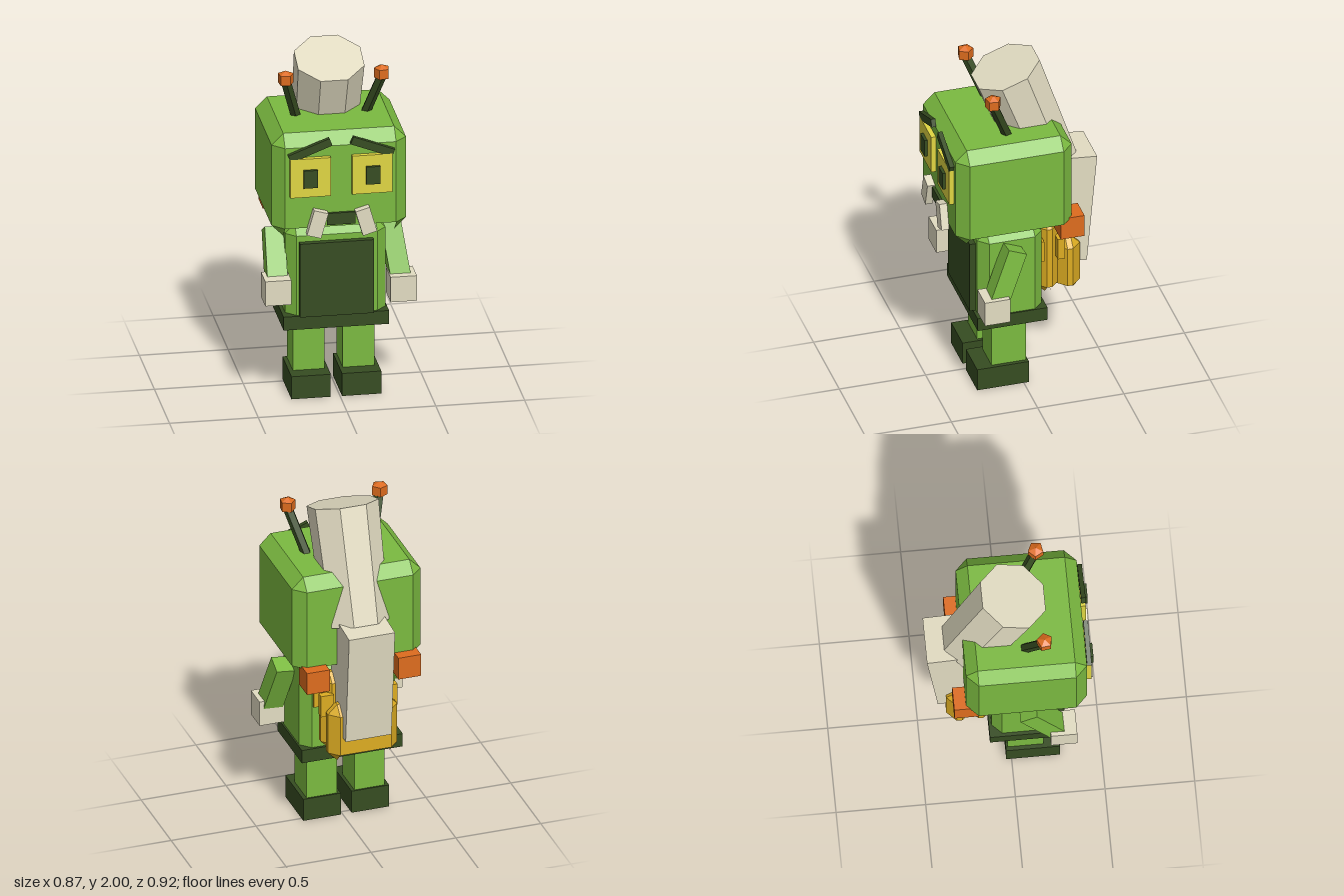
import * as THREE from 'three';
import { ConvexGeometry } from 'three/addons/geometries/ConvexGeometry.js';

const mat = (name, color, side = THREE.FrontSide) => {
  const m = new THREE.MeshStandardMaterial({ color, side });
  m.name = name;
  return m;
};

export function createModel() {
  // Green and gold shells are open underneath, so they show both sides
  const green = mat('leafGreen', 0x7bba40, THREE.DoubleSide);
  const gold = mat('gold', 0xdcac22, THREE.DoubleSide);
  const dark = mat('darkGreen', 0x364c21);
  const bone = mat('bone', 0xe2dcc2);
  const orange = mat('orange', 0xde6c1e);
  const yellow = mat('eyeYellow', 0xe0d642);

  const model = new THREE.Group();
  model.name = 'robot';

  const add = (name, geo, material) => {
    const mesh = new THREE.Mesh(geo, material);
    mesh.name = name;
    model.add(mesh);
    return mesh;
  };

  // Sharp-edged copy of a geometry
  const faceted = geo => {
    const g = geo.toNonIndexed();
    g.computeVertexNormals();
    return g;
  };

  // Box given by its limits on each axis
  const box = (name, material, [x0, x1], [y0, y1], [z0, z1]) => {
    const mesh = add(name, new THREE.BoxGeometry(x1 - x0, y1 - y0, z1 - z0), material);
    mesh.position.set((x0 + x1) / 2, (y0 + y1) / 2, (z0 + z1) / 2);
    return mesh;
  };

  // Chamfered box, open underneath; only some lower corner facets stay
  // (cornerSide: 1 front, -1 back, 0 all)
  const chamferBox = (name, material, xs, ys, zs, c, cornerSide) => {
    const pts = [];
    for (const i of [0, 1]) for (const j of [0, 1]) for (const k of [0, 1]) {
      const inset = (v, s) => v + (s ? -c : c);
      const [x, y, z] = [xs[i], ys[j], zs[k]];
      pts.push(new THREE.Vector3(x, inset(y, j), inset(z, k)));
      pts.push(new THREE.Vector3(inset(x, i), y, inset(z, k)));
      pts.push(new THREE.Vector3(inset(x, i), inset(y, j), z));
    }
    const p = new ConvexGeometry(pts).attributes.position;
    const kept = [];
    const tri = new THREE.Triangle(), n = new THREE.Vector3();
    for (let f = 0; f < p.count; f += 3) {
      tri.setFromAttributeAndIndices(p, f, f + 1, f + 2);
      tri.getNormal(n);
      const low = Math.max(tri.a.y, tri.b.y, tri.c.y) < ys[0] + c + 1e-4;
      const corner = Math.abs(n.x) > 0.3 && Math.abs(n.z) > 0.3 && n.z * cornerSide >= 0;
      if (!low || corner) for (const v of [tri.a, tri.b, tri.c]) kept.push(v.x, v.y, v.z);
    }
    const geo = new THREE.BufferGeometry();
    geo.setAttribute('position', new THREE.Float32BufferAttribute(kept, 3));
    geo.computeVertexNormals();
    add(name, geo, material);
  };

  // Box hollowed from below: frame with a thin lid on top
  const hollowBox = (name, xs, ys, zs, rim) => {
    const w = (xs[1] - xs[0]) / 2, d = (zs[1] - zs[0]) / 2, h = ys[1] - ys[0], lid = h * 0.25;
    const rect = (T, a, b) => new T([[-a, -b], [a, -b], [a, b], [-a, b]].map(q => new THREE.Vector2(...q)));
    const shape = rect(THREE.Shape, w, d);
    shape.holes.push(rect(THREE.Path, w - rim, d - rim));
    const geo = new THREE.ExtrudeGeometry(shape, { depth: h - lid, bevelEnabled: false });
    geo.rotateX(-Math.PI / 2);
    const frame = add(name, geo, dark);
    frame.position.set((xs[0] + xs[1]) / 2, ys[0], (zs[0] + zs[1]) / 2);
    box(name + 'Top', dark, xs, [ys[1] - lid, ys[1]], zs);
  };

  // Straight part between two points
  const span = (name, material, a, b, makeGeo) => {
    const va = new THREE.Vector3(...a), vb = new THREE.Vector3(...b);
    const mesh = add(name, makeGeo(va.distanceTo(vb)), material);
    mesh.position.copy(va).lerp(vb, 0.5);
    mesh.quaternion.setFromUnitVectors(new THREE.Vector3(0, 1, 0), va.sub(vb).normalize());
  };

  // Head and torso
  chamferBox('head', green, [-0.4, 0.357], [1.02, 1.635], [-0.26, 0.415], 0.066, 1);
  chamferBox('torso', green, [-0.3, 0.265], [0.415, 1.03], [-0.11, 0.265], 0.055, 0);
  box('apron', dark, [-0.23, 0.185], [0.5, 0.94], [0.266, 0.3]);
  hollowBox('belt', [-0.32, 0.274], [0.42, 0.5], [-0.125, 0.28], 0.05);

  // Mirrored parts share the slightly offset middle plane
  const mid = -0.021;
  for (const s of [-1, 1]) {
    const side = s < 0 ? 'right' : 'left';
    const at = (a, b) => [mid + s * a, mid + s * b].sort((p, q) => p - q);

    // Legs and shoes
    box(side + 'Leg', green, at(0.051, 0.23), [0.13, 0.408], [-0.02, 0.18]);
    hollowBox(side + 'Shoe', at(0.032, 0.253), [0, 0.135], [-0.03, 0.27], 0.07);

    // Eyes, pupils, brows
    box(side + 'Eye', yellow, at(0.06, 0.288), [1.28, 1.51], [0.416, 0.443]);
    box(side + 'Pupil', dark, at(0.136, 0.216), [1.34, 1.445], [0.43, 0.46]);
    const brow = add(side + 'Brow', new THREE.BoxGeometry(0.25, 0.046, 0.026), dark);
    brow.position.set(mid + s * 0.176, 1.558, 0.43);
    brow.rotation.z = -s * 0.37;

    // Whisker plates
    const whisker = add(side + 'Whisker', new THREE.BoxGeometry(0.083, 0.152, 0.044), bone);
    whisker.position.set(mid + s * 0.137, 1.119, 0.438);
    whisker.rotation.z = s * 0.28;

    // Antennae with five-sided knobs
    const tip = [mid + s * 0.271, 1.88, 0.183];
    span(side + 'Antenna', dark, tip, [mid + s * 0.19, 1.6, 0.07],
      len => faceted(new THREE.CylinderGeometry(0.029, 0.029, len, 5)));
    const profile = [[0, -0.035], [0.045, -0.03], [0.045, 0.026], [0, 0.046]].map(q => new THREE.Vector2(...q));
    const knob = add(side + 'AntennaKnob', faceted(new THREE.LatheGeometry(profile, 5, -s * 0.44)), orange);
    knob.position.set(tip[0], 1.895, 0.183);

    // Pack: side blocks and clips
    box(side + 'PackBlock', orange, at(0.202, 0.336), [0.963, 1.097], [-0.327, -0.19]);
    box(side + 'PackClip', gold, at(0.15, 0.225), [0.76, 0.89], [-0.247, -0.205]);
    box(side + 'PackStrap', gold, at(0.15, 0.225), [0.76, 0.89], [-0.127, -0.1]);
  }

  // Mouth
  box('mouth', dark, [-0.1, 0.058], [1.1, 1.17], [0.416, 0.432]);

  // Arms and hands, each in its own pose
  const limb = len => new THREE.BoxGeometry(0.114, len, 0.11);
  span('rightArm', green, [-0.345, 0.96, 0.085], [-0.357, 0.68, 0.26], limb);
  span('leftArm', green, [0.311, 0.952, 0.075], [0.353, 0.63, 0.205], limb);
  box('rightHand', bone, [-0.435, -0.288], [0.603, 0.75], [0.205, 0.352]);
  box('leftHand', bone, [0.282, 0.43], [0.55, 0.7], [0.138, 0.284]);

  // Backpack
  chamferBox('packInner', gold, [-0.225, 0.183], [0.52, 1.0], [-0.23, -0.1], 0.05, 0);
  chamferBox('packOuter', gold, [-0.225, 0.183], [0.505, 0.855], [-0.355, -0.215], 0.054, -1);

  // Chimney: tilted eight-sided stack above a square duct
  const stackGeo = new THREE.CylinderGeometry(0.202, 0.183, 0.68, 8).rotateY(Math.PI / 8);
  const stack = add('chimneyStack', faceted(stackGeo), bone);
  stack.position.set(mid, 1.616, -0.084);
  stack.rotation.x = 0.347;
  const duct = add('chimneyDuct', new THREE.BoxGeometry(0.27, 0.676, 0.27), bone);
  duct.position.set(mid, 1.015, -0.296);
  duct.rotation.x = -0.089;

  return model;
}
